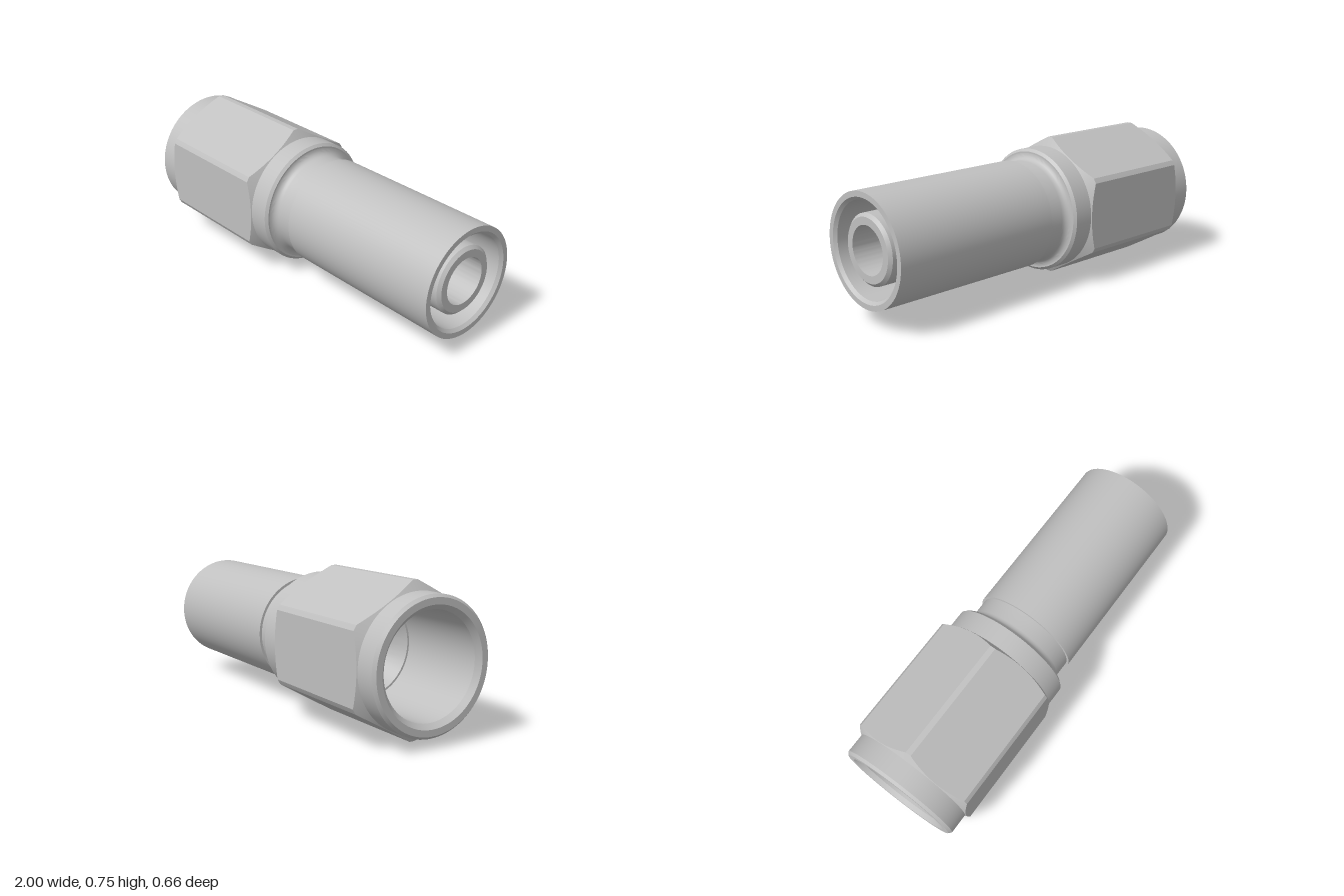
import * as THREE from 'three';
import { toCreasedNormals } from 'three/addons/utils/BufferGeometryUtils.js';

const AXIS_Y = 0.373;

// Solid of revolution about the x axis from a closed [x, radius] profile
function turned(profile, material, name) {
  const pts = [...profile, profile[0]].map(([x, r]) => new THREE.Vector2(r, x));
  const geo = new THREE.LatheGeometry(pts, 96).rotateZ(-Math.PI / 2);
  const mesh = new THREE.Mesh(toCreasedNormals(geo, 0.4), material);
  mesh.name = name;
  return mesh;
}

// Hexagonal prism along x: corners trimmed to a circle, both ends cone-chamfered
function hexGeometry(x0, x1, apothem, corner, rEnd, chamfer) {
  const trim = Math.acos(apothem / corner);
  const pos = [], idx = [], angles = [];
  for (let side = 0; side < 6; side++) {
    const mid = (side + 0.5) * Math.PI / 3;
    for (let i = 0; i <= 20; i++) angles.push([mid + trim * (i / 10 - 1), trim * (i / 10 - 1)]);
    angles.push([mid + Math.PI / 6, null]);
  }
  for (const [a, local] of angles) {
    const r = local === null ? corner : apothem / Math.cos(local);
    const d = chamfer * (r - rEnd) / (corner - rEnd);
    for (const [x, rad] of [[x0, rEnd], [x0 + d, r], [x1 - d, r], [x1, rEnd]]) {
      pos.push(x, rad * Math.cos(a), rad * Math.sin(a));
    }
  }
  const n = angles.length;
  for (let j = 0; j < n; j++) {
    for (let k = 0; k < 3; k++) {
      const a = j * 4 + k, b = ((j + 1) % n) * 4 + k;
      idx.push(a, a + 1, b, b, a + 1, b + 1);
    }
  }
  const geo = new THREE.BufferGeometry();
  geo.setAttribute('position', new THREE.Float32BufferAttribute(pos, 3));
  geo.setIndex(idx);
  // Make the faces point away from the axis
  const [p, q, s] = [0, 1, 2].map(i => new THREE.Vector3().fromArray(pos, idx[6 + i] * 3));
  const normal = q.clone().sub(p).cross(s.clone().sub(p));
  if (normal.y * p.y + normal.z * p.z < 0) {
    for (let i = 0; i < idx.length; i += 3) [idx[i + 1], idx[i + 2]] = [idx[i + 2], idx[i + 1]];
    geo.setIndex(idx);
  }
  return toCreasedNormals(geo, 0.35);
}

export function createModel() {
  const group = new THREE.Group();
  group.name = 'hoseFitting';
  const steel = new THREE.MeshStandardMaterial({ color: 0xc0c0c0 });
  steel.name = 'steel';

  const fitting = new THREE.Group();
  fitting.name = 'fittingBody';
  fitting.position.y = AXIS_Y;
  group.add(fitting);

  // Round nut body with its open cavity
  fitting.add(turned([
    [-1, 0.28], [-1, 0.312], [-0.985, 0.326], [-0.07, 0.326], [-0.057, 0.312],
    [-0.057, 0.2], [-0.4, 0.2], [-0.4, 0.256], [-0.975, 0.256],
  ], steel, 'nutBody'));

  // Wrench flats
  const hex = new THREE.Mesh(hexGeometry(-0.882, -0.175, 0.33, 0.373, 0.325, 0.027), steel);
  hex.name = 'nutHexagon';
  fitting.add(hex);

  // Neck with a concave fillet against the nut
  const neck = [[-0.06, 0.18], [-0.06, 0.305]];
  for (let i = 0; i <= 6; i++) {
    const a = i / 6 * Math.PI / 2;
    neck.push([-0.02 - 0.037 * Math.cos(a), 0.304 - 0.036 * Math.sin(a)]);
  }
  neck.push([0.07, 0.268], [0.07, 0.18]);
  fitting.add(turned(neck, steel, 'neck'));

  // Crimp sleeve, chamfered inside its mouth
  fitting.add(turned([
    [0.065, 0.2], [0.065, 0.281], [1, 0.281], [1, 0.253], [0.985, 0.238], [0.13, 0.238], [0.13, 0.2],
  ], steel, 'sleeve'));

  // Inner tube with a flared seat inside the nut and a through bore
  fitting.add(turned([
    [-0.5, 0.24], [-0.5, 0.25], [-0.38, 0.25], [-0.36, 0.205], [0.14, 0.205], [0.145, 0.202],
    [0.145, 0.174], [0.965, 0.174], [0.98, 0.158], [0.98, 0.12], [-0.34, 0.12],
  ], steel, 'innerTube'));

  return group;
}
